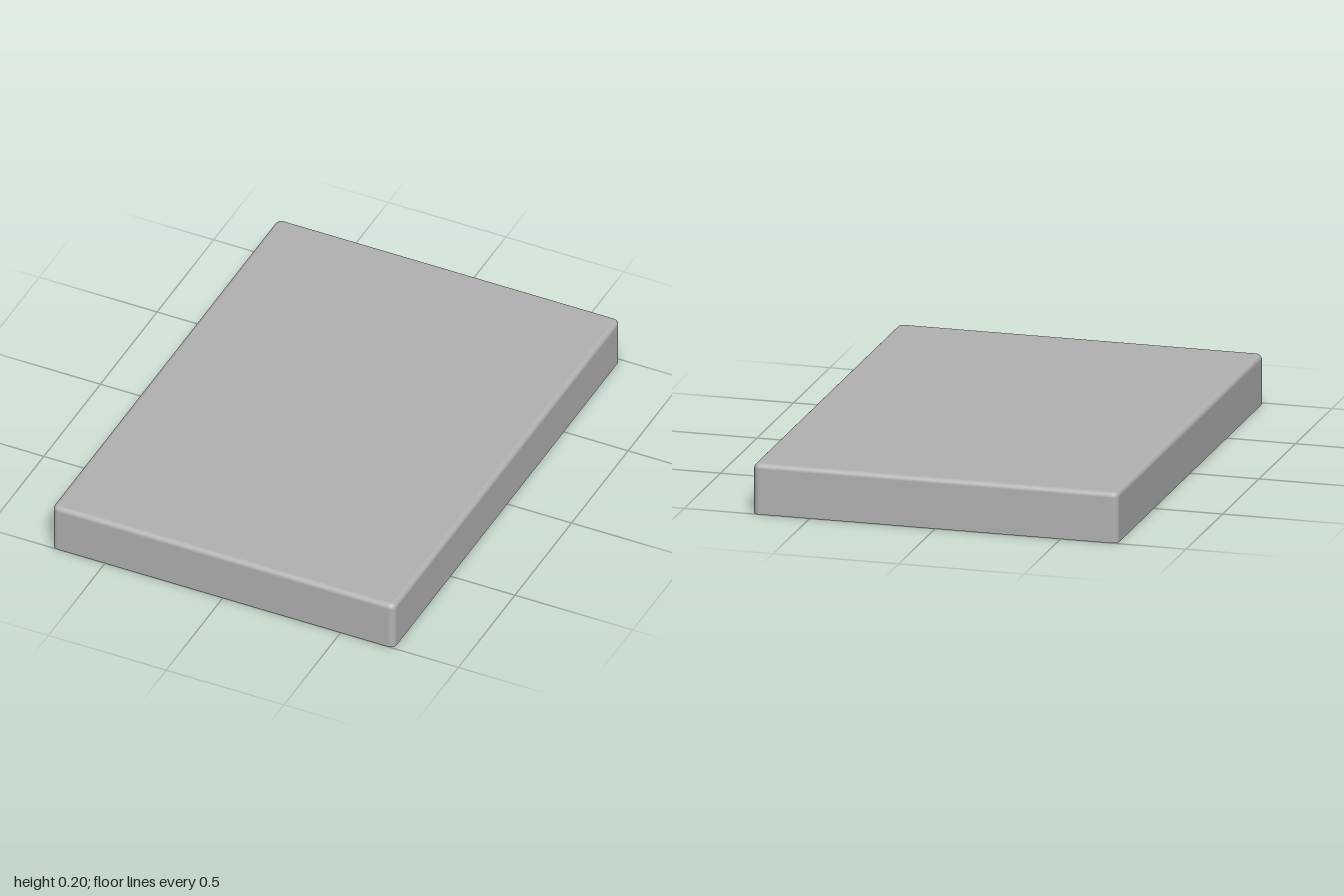
import * as THREE from 'three';

const HX = 0.727, HZ = 1, H = 0.2;      // half width, half length, height
const R = 0.025, WALL = 0.02, ROUND = 0.02;
const PLATE_Y = 0.125, CELL_TOP = 0.176;

// Rounded rectangle ring: corner centre plus outward direction per point
function ringPoints(steps = 5) {
  const pts = [];
  [[1, 1], [-1, 1], [-1, -1], [1, -1]].forEach(([sx, sz], c) => {
    for (let k = 0; k <= steps; k++) {
      const a = (c + k / steps) * Math.PI / 2;
      pts.push({ x: sx * (HX - R), z: sz * (HZ - R), c: Math.cos(a), s: Math.sin(a) });
    }
  });
  return pts;
}

// Sweeps strips of [inset, y, normalOut, normalY, scale] around the ring
function shellGeometry() {
  const arc = [];
  for (let k = 0; k <= 5; k++) {
    const a = k / 5 * Math.PI / 2;
    arc.push([ROUND * (1 - Math.cos(a)), H - ROUND + ROUND * Math.sin(a), Math.cos(a), Math.sin(a)]);
  }
  const strips = [
    [[WALL, PLATE_Y, -1, 0], [WALL, 0, -1, 0]],       // inner wall
    [[WALL, 0, 0, -1], [0, 0, 0, -1]],                // rim
    [[0, 0, 1, 0], [0, H - ROUND, 1, 0]],             // outer wall
    arc,                                              // rounded top edge
    [[ROUND, H, 0, 1], [ROUND, H, 0, 1, 0]],          // top
  ];
  const ring = ringPoints(), n = ring.length;
  const pos = [], nor = [], idx = [];
  for (const strip of strips) {
    const base = pos.length / 3;
    for (const [d, y, no, ny, k = 1] of strip) {
      for (const p of ring) {
        pos.push(k * (p.x + (R - d) * p.c), y, k * (p.z + (R - d) * p.s));
        nor.push(no * p.c, ny, no * p.s);
      }
    }
    for (let s = 0; s < strip.length - 1; s++) {
      for (let i = 0; i < n; i++) {
        const j = (i + 1) % n, a = base + s * n, b = a + n;
        idx.push(a + i, b + i, a + j, a + j, b + i, b + j);
      }
    }
  }
  const g = new THREE.BufferGeometry();
  g.setAttribute('position', new THREE.Float32BufferAttribute(pos, 3));
  g.setAttribute('normal', new THREE.Float32BufferAttribute(nor, 3));
  g.setIndex(idx);
  return g;
}

// Keeps the part of a polygon where sign * p[axis] <= limit
function clip(poly, axis, sign, limit) {
  const out = [];
  poly.forEach((p, i) => {
    const q = poly[(i + 1) % poly.length];
    const dp = limit - sign * p[axis], dq = limit - sign * q[axis];
    if (dp >= 0) out.push(p);
    if (dp * dq < 0) out.push(p.clone().lerp(q, dp / (dp - dq)));
  });
  return out;
}

// Plate with hexagonal pockets trimmed to a rectangle
function honeycombGeometry() {
  const w = HX - WALL, l = HZ - WALL;
  const shape = new THREE.Shape([
    new THREE.Vector2(-w, -l), new THREE.Vector2(w, -l),
    new THREE.Vector2(w, l), new THREE.Vector2(-w, l),
  ]);
  const pitch = 0.178, radius = 0.068, limX = 0.577, limZ = 0.822;
  for (let row = -6; row <= 6; row++) {
    for (let col = -4; col <= 4; col++) {
      const cx = (col + (row % 2 ? 0.5 : 0)) * pitch, cz = row * pitch * Math.sqrt(3) / 2;
      let poly = [];
      for (let k = 0; k < 6; k++) {
        const a = Math.PI / 6 + k * Math.PI / 3;
        poly.push(new THREE.Vector2(cx + radius * Math.cos(a), cz + radius * Math.sin(a)));
      }
      for (const s of [1, -1]) poly = clip(clip(poly, 'x', s, limX), 'y', s, limZ);
      if (poly.length > 2 && Math.abs(THREE.ShapeUtils.area(poly)) > 0.0002) {
        shape.holes.push(new THREE.Path(poly.reverse()));
      }
    }
  }
  const g = new THREE.ExtrudeGeometry(shape, { depth: CELL_TOP - PLATE_Y, bevelEnabled: false });
  return g.rotateX(-Math.PI / 2).translate(0, PLATE_Y, 0);
}

export function createModel() {
  const model = new THREE.Group();
  model.name = 'lid';
  const grey = new THREE.MeshStandardMaterial({ color: 0xb2b2b2 });
  grey.name = 'grey plastic';
  const add = (name, geometry) => {
    const mesh = new THREE.Mesh(geometry, grey);
    mesh.name = name;
    model.add(mesh);
    return mesh;
  };

  add('shell', shellGeometry());
  add('honeycombPlate', honeycombGeometry());

  // Closed ends of the pockets
  const ceiling = add('pocketCeiling', new THREE.PlaneGeometry(1.3, 1.8).rotateX(Math.PI / 2));
  ceiling.position.y = CELL_TOP - 0.001;

  // Small snap bumps on the inside of the long walls
  for (const sx of [-1, 1]) {
    for (const sz of [-1, 1]) {
      const bump = add('snapBump', new THREE.SphereGeometry(0.018, 16, 10));
      bump.position.set(sx * (HX - WALL), 0.052, sz * 0.583);
      bump.scale.x = 0.6;
    }
  }
  return model;
}
